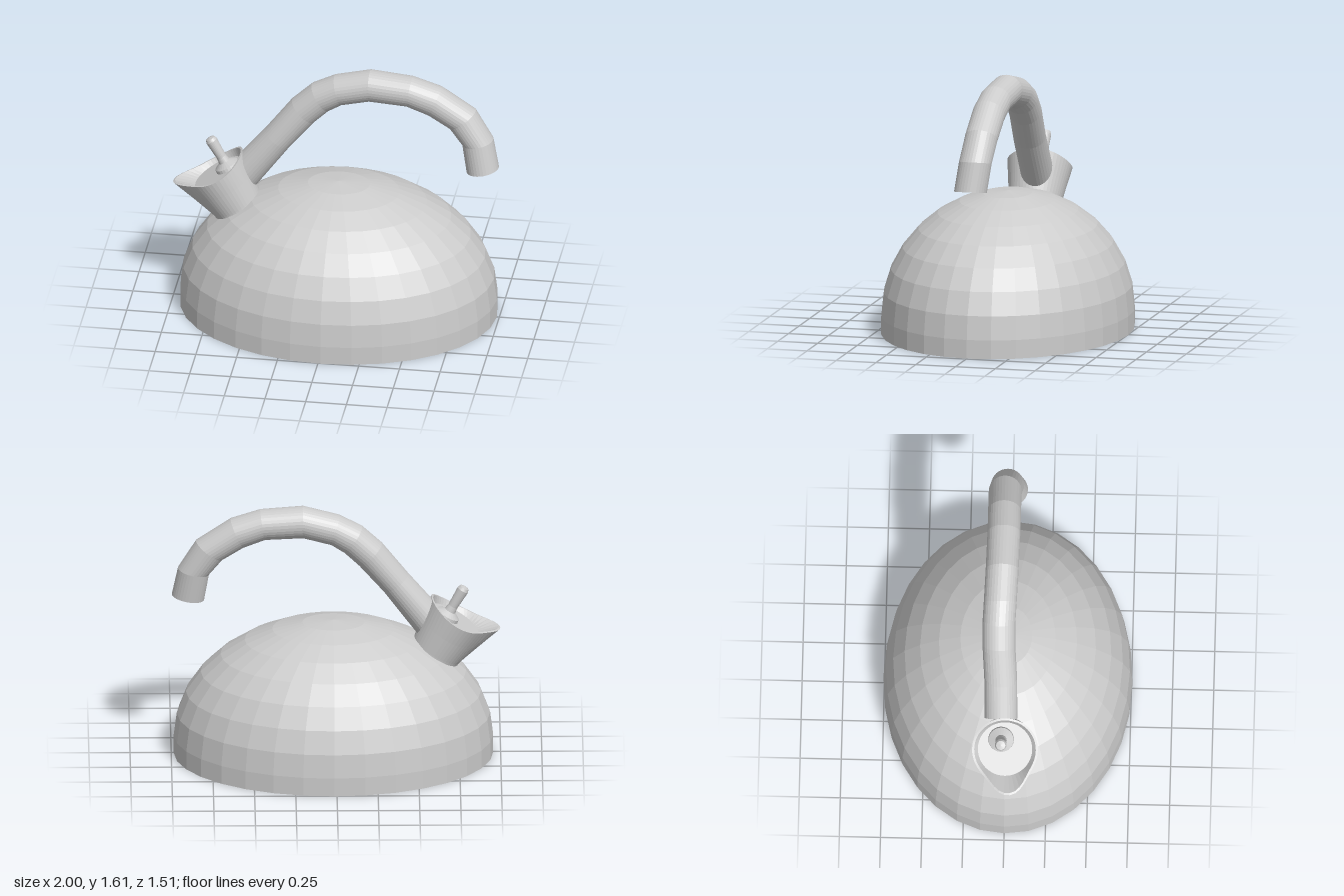
import * as THREE from 'three';

const material = new THREE.MeshStandardMaterial({
  color: 0xcccccc, flatShading: true, side: THREE.DoubleSide,
});

function addMesh(parent, name, geometry) {
  const mesh = new THREE.Mesh(geometry, material);
  mesh.name = name;
  parent.add(mesh);
  return mesh;
}

const lathe = (points, segments) =>
  new THREE.LatheGeometry(points.map(([r, y]) => new THREE.Vector2(r, y)), segments);

// Oval dome: upper half sphere on a short upright skirt, closed below
function bodyGeometry() {
  const profile = [[0, 0], [1, 0], [1, 0.115]];
  for (let i = 1; i <= 8; i++) {
    const a = (i / 8) * Math.PI / 2;
    profile.push([i === 8 ? 0 : Math.cos(a), 0.115 + 0.745 * Math.sin(a)]);
  }
  return lathe(profile, 32).scale(0.97, 1, 0.755);
}

// Tapered cup with a recessed lid; its rim dips at the sides and is drawn out to a lip
function spoutGeometry() {
  const height = 0.28;
  const geometry = lathe(
    [[0.15, -0.38], [0.16, -height], [0.18, -0.14], [0.2, 0], [0.187, 0], [0.165, -0.06], [0, -0.06]], 48);
  const p = geometry.attributes.position;
  for (let i = 0; i < p.count; i++) {
    const x = p.getX(i), y = p.getY(i), z = p.getZ(i);
    const r = Math.hypot(x, z);
    if (r < 0.17 && y > -0.1) continue; // the lid stays round
    const t = Math.max(0, (y + height) / height);
    const angle = Math.atan2(z, -x) - 0.11;
    const lip = t * Math.pow(Math.max(0, Math.cos(angle)), 8);
    const stretch = r > 0 ? (r + 0.072 * lip) / r : 1;
    const dip = 0.035 * t * t * Math.sin(angle) ** 2;
    p.setXYZ(i, x * stretch, y + 0.024 * lip - dip, z * stretch);
  }
  return geometry;
}

// Tube through cross-sections [upper x, upper y, lower x, lower y, centre z], capped at both ends
function handleGeometry(sections, sides = 32, radius = 0.1) {
  const positions = [], index = [];
  const centre = ([ux, uy, lx, ly, z]) => [(ux + lx) / 2, (uy + ly) / 2, z];
  for (const s of sections) {
    const [cx, cy, cz] = centre(s);
    for (let j = 0; j < sides; j++) {
      const a = (j / sides) * Math.PI * 2, c = Math.cos(a);
      positions.push(cx + (s[0] - cx) * c, cy + (s[1] - cy) * c, cz + radius * Math.sin(a));
    }
  }
  const last = (sections.length - 1) * sides;
  const startCap = sections.length * sides, endCap = startCap + 1;
  positions.push(...centre(sections[0]), ...centre(sections[sections.length - 1]));
  for (let j = 0; j < sides; j++) {
    const k = (j + 1) % sides;
    for (let i = 0; i < last; i += sides) {
      index.push(i + j, i + k, i + sides + j, i + k, i + sides + k, i + sides + j);
    }
    index.push(startCap, k, j, endCap, last + j, last + k);
  }
  const geometry = new THREE.BufferGeometry();
  geometry.setAttribute('position', new THREE.Float32BufferAttribute(positions, 3));
  geometry.setIndex(index);
  geometry.computeVertexNormals();
  return geometry;
}

export function createModel() {
  const model = new THREE.Group();
  model.name = 'kettle';

  addMesh(model, 'body', bodyGeometry()).position.x = 0.015;

  // Spout and its lid knob share the same tilt
  const spout = new THREE.Group();
  spout.name = 'spoutAssembly';
  spout.position.set(-0.753, 0.91, 0);
  spout.rotation.z = Math.PI / 6;
  model.add(spout);
  addMesh(spout, 'spout', spoutGeometry());
  const knob = addMesh(spout, 'lidKnob', lathe(
    [[0.078, -0.06], [0.075, -0.04], [0.035, -0.015], [0.03, 0.02], [0.036, 0.14],
      [0.028, 0.158], [0, 0.166]], 24));
  knob.position.set(0.06, 0, -0.025);

  // Arched handle, from the back of the spout to its free end
  addMesh(model, 'handle', handleGeometry([
    [-0.585, 1.0, -0.49, 0.79, -0.03],
    [-0.44, 1.17, -0.29, 1.06, -0.035],
    [-0.28, 1.375, -0.14, 1.235, -0.05],
    [-0.16, 1.485, -0.05, 1.32, -0.052],
    [-0.02, 1.555, 0.03, 1.37, -0.047],
    [0.2, 1.61, 0.2, 1.412, -0.04],
    [0.46, 1.587, 0.43, 1.4, -0.035],
    [0.64, 1.53, 0.56, 1.35, -0.035],
    [0.85, 1.39, 0.69, 1.27, -0.035],
    [0.96, 1.21, 0.77, 1.17, -0.022],
    [0.997, 1.03, 0.8, 0.995, 0],
  ]));

  return model;
}
